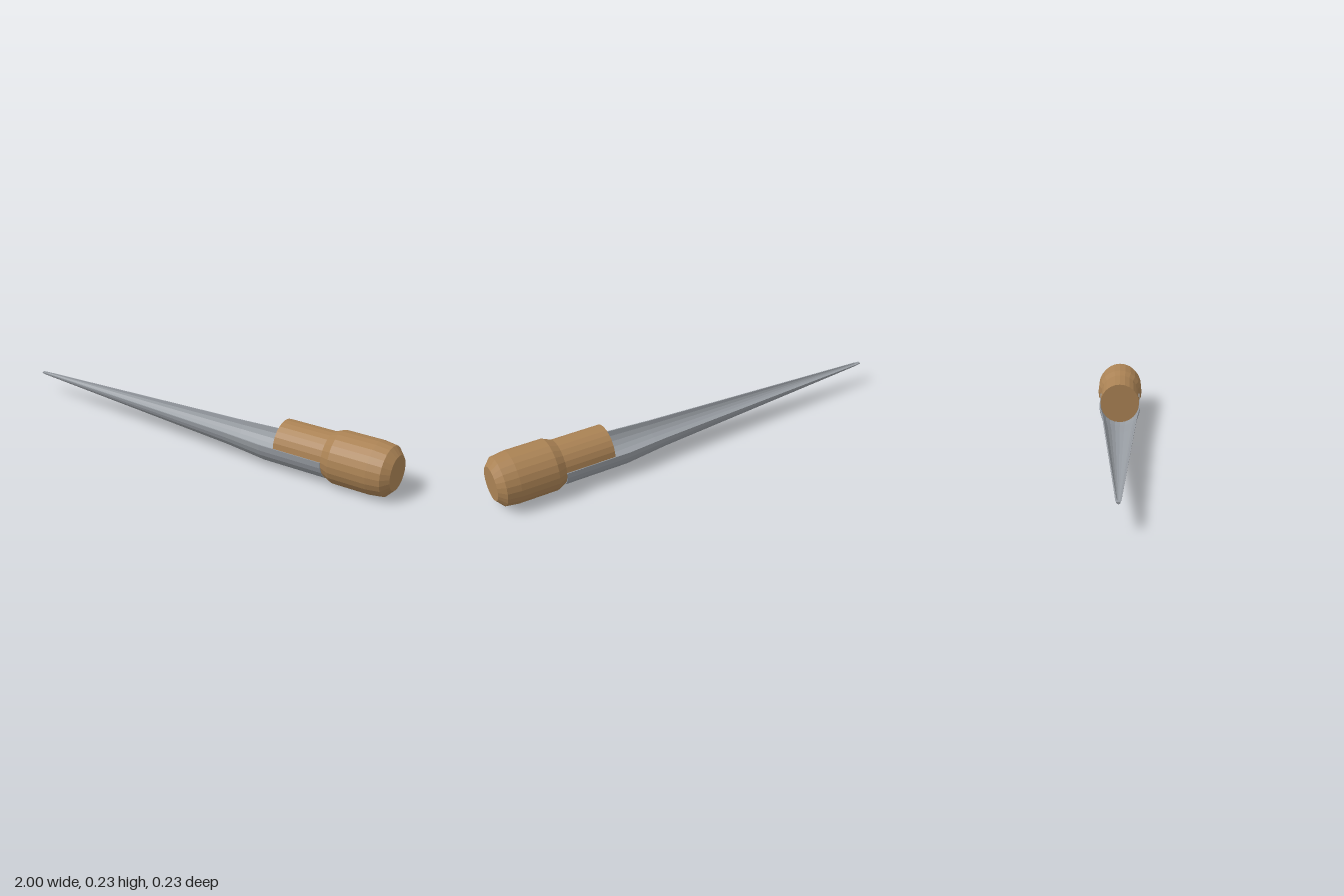
import * as THREE from 'three';

const AXIS_Y = 0.117;
const v = ([x, r]) => new THREE.Vector2(r, x);

// Turned solid along the x axis; profile is [x, radius], the arc starts at the front and runs underneath
function turned(profile, segments, arc) {
  return new THREE.LatheGeometry(profile.map(v), segments, 0, arc).rotateZ(-Math.PI / 2);
}

export function createModel() {
  const wood = new THREE.MeshStandardMaterial({ color: 0xaa8254, flatShading: true });
  wood.name = 'wood';
  const steel = new THREE.MeshStandardMaterial({ color: 0x979ca2, flatShading: true });
  steel.name = 'steel';

  const model = new THREE.Group();
  model.name = 'hollowSpike';
  const add = (parent, name, geometry, material) => {
    const mesh = new THREE.Mesh(geometry, material);
    mesh.name = name;
    parent.add(mesh);
  };

  // Wooden handle with a narrower neck seated in the blade
  add(model, 'handle', turned([
    [0.47, 0], [0.47, 0.1], [0.7, 0.1], [0.74, 0.117], [0.91, 0.117],
    [0.97, 0.109], [1, 0.076], [1, 0],
  ], 24, Math.PI * 2), wood);

  // Half-round hollow blade: outer skin from tip to base, then inner skin back
  const section = [
    [-1, 0], [-1, 0.008], [-0.97, 0.012], [0.2, 0.085], [0.4, 0.104], [0.7, 0.104],
    [0.7, 0.099], [0.4, 0.099], [0.2, 0.08], [-0.97, 0.007], [-0.985, 0],
  ];
  const blade = new THREE.Group();
  blade.name = 'blade';
  add(blade, 'bladeShell', turned(section, 12, Math.PI), steel);

  // Flat rims along both long edges
  for (const side of [1, -1]) {
    const shape = new THREE.Shape(section.map(([x, r]) => new THREE.Vector2(x, side * r)));
    add(blade, side > 0 ? 'backRim' : 'frontRim',
      new THREE.ShapeGeometry(shape).rotateX(-Math.PI / 2), steel);
  }
  model.add(blade);

  for (const part of model.children) part.position.y = AXIS_Y;
  return model;
}
